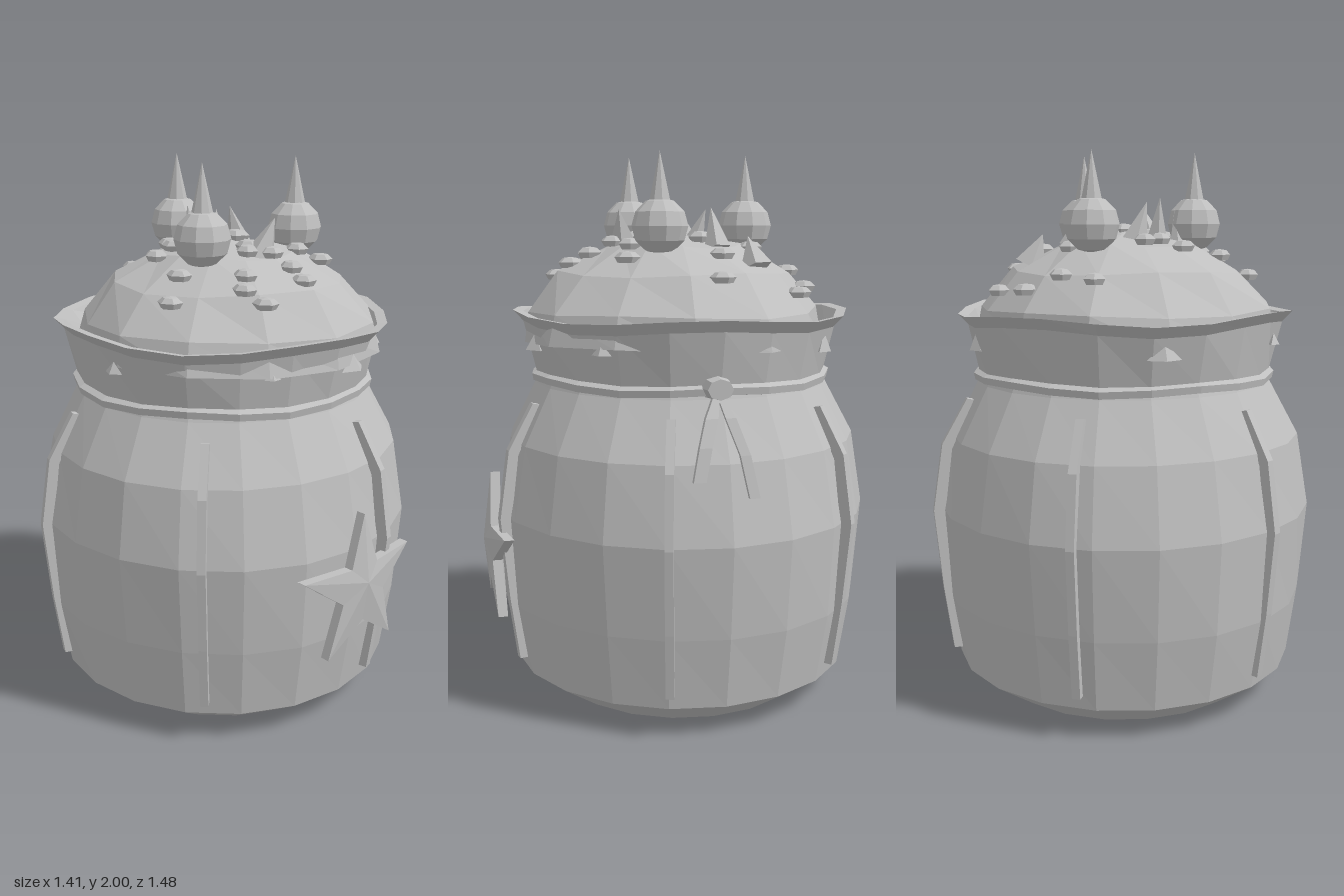
import * as THREE from 'three';

export function createModel() {
  const model = new THREE.Group();
  const grey = new THREE.MeshStandardMaterial({ color: 0xbfbfbf, flatShading: true });
  grey.name = 'plainGrey';

  const add = (name, geometry, parent = model) => {
    const mesh = new THREE.Mesh(geometry, grey);
    mesh.name = name;
    parent.add(mesh);
    return mesh;
  };
  const lathe = (points, sides) =>
    new THREE.LatheGeometry(points.map(([r, y]) => new THREE.Vector2(r, y)), sides);
  // Shifts every vertex by a rule of its angle, radius and height
  const warp = (geometry, rule) => {
    const p = geometry.attributes.position;
    for (let i = 0; i < p.count; i++) {
      const x = p.getX(i), y = p.getY(i), z = p.getZ(i);
      const [scale, lift] = rule(Math.atan2(x, z), Math.hypot(x, z), y);
      p.setXYZ(i, x * scale, y + lift, z * scale);
    }
    geometry.computeVertexNormals();
    return geometry;
  };

  // Sack and its gathered neck share a centre slightly behind the origin
  const sack = new THREE.Group();
  sack.name = 'sack';
  sack.position.set(-0.003, 0, -0.025);
  model.add(sack);

  const body = lathe([[0, 0], [0.48, 0], [0.64, 0.11], [0.68, 0.37], [0.705, 0.7],
    [0.655, 0.97], [0.55, 1.17], [0.53, 1.22]], 20);
  add('body', warp(body, (a, r, y) =>
    [1 + (y > 0.3 && y < 1.1 ? 0.007 * Math.sin(3 * a + y * 5) : 0), 0]), sack);

  const collar = lathe([[0.535, 1.17], [0.545, 1.21], [0.585, 1.39], [0.622, 1.43],
    [0.585, 1.425], [0.55, 1.36], [0.53, 1.28]], 20);
  add('collar', warp(collar, (a, r, y) => {
    const w = y > 1.38 ? 1 : 0.25;
    return [1 + w * 0.015 * Math.sin(5 * a + 1), w * 0.012 * Math.sin(4 * a + 2)];
  }), sack);

  const cord = lathe([[0.53, 1.175], [0.56, 1.18], [0.565, 1.205], [0.54, 1.22]], 20);
  add('neckCord', warp(cord, (a) => [1, 0.006 * Math.sin(5 * a)]), sack);

  // Raised seams, bowed along the body
  const seamOutline = [[0.64, 0.16], [0.672, 0.16], [0.705, 0.4], [0.733, 0.7], [0.695, 0.95],
    [0.6, 1.115], [0.575, 1.11], [0.66, 0.93], [0.69, 0.7], [0.665, 0.4]];
  const seamShape = new THREE.Shape(seamOutline.map(([x, y]) => new THREE.Vector2(x, y)));
  for (let i = 0; i < 6; i++) {
    const geometry = new THREE.ExtrudeGeometry(seamShape, { depth: 0.03, bevelEnabled: false });
    geometry.translate(0, 0, -0.015);
    const seam = add('seam', geometry, sack);
    seam.rotation.y = THREE.MathUtils.degToRad(12.5 + 60 * i - 90);
  }

  // Little points poking through the collar
  [[10, 0.065, 0.06], [48, 0.04, 0.04], [-25, 0.03, 0.03], [-82, 0.04, 0.04],
    [140, 0.05, 0.07], [-140, 0.06, 0.06]].forEach(([deg, half, height]) => {
    const a = THREE.MathUtils.degToRad(deg);
    const geometry = new THREE.ConeGeometry(half, height, 4);
    geometry.scale(1, 1, 0.55);
    const point = add('collarPoint', geometry, sack);
    point.position.set(Math.sin(a) * 0.572, 1.335, Math.cos(a) * 0.572);
    point.rotation.y = a;
  });

  // Knot and its two hanging tails
  const tie = new THREE.Group();
  tie.name = 'tie';
  model.add(tie);
  const knot = add('knot', new THREE.CylinderGeometry(0.045, 0.055, 0.06, 8), tie);
  knot.rotation.z = -Math.PI / 2;
  knot.scale.set(0.8, 1, 1);
  knot.position.set(0.56, 1.21, -0.01);

  const tail = (path, half) => {
    const pos = [], index = [], n = path.length;
    path.forEach(([x, y, z], i) => {
      const w = i === 0 ? half * 0.5 : half;
      pos.push(x, y, z + w, x + 0.018, y, z + w, x + 0.018, y, z - w, x, y, z - w);
    });
    for (let i = 0; i < n - 1; i++) {
      for (let k = 0; k < 4; k++) {
        const a = i * 4 + k, b = i * 4 + (k + 1) % 4;
        index.push(a, a + 4, b, b, a + 4, b + 4);
      }
    }
    const e = (n - 1) * 4;
    index.push(e, e + 3, e + 2, e, e + 2, e + 1);
    const geometry = new THREE.BufferGeometry();
    geometry.setAttribute('position', new THREE.Float32BufferAttribute(pos, 3));
    geometry.setIndex(index);
    geometry.computeVertexNormals();
    return geometry;
  };
  add('tail', tail([[0.56, 1.19, 0], [0.605, 1.12, 0.03], [0.64, 1.03, 0.06], [0.66, 0.92, 0.085]], 0.022), tie);
  add('tail', tail([[0.56, 1.19, -0.01], [0.605, 1.12, -0.035], [0.645, 1.0, -0.075], [0.675, 0.86, -0.1]], 0.018), tie);

  // Star with a raised centre: x, y, front z around the rim
  const rim = [[0, 0.84, 0.705], [-0.065, 0.65, 0.715], [-0.27, 0.65, 0.685], [-0.105, 0.53, 0.715],
    [-0.163, 0.33, 0.705], [0, 0.44, 0.715], [0.163, 0.33, 0.705], [0.105, 0.53, 0.715],
    [0.27, 0.65, 0.685], [0.065, 0.65, 0.715]];
  const starPos = [0, 0.59, 0.737, 0, 0.59, 0.67], starIndex = [];
  rim.forEach(([x, y, z], i) => {
    starPos.push(x, y, z, x, y, z - 0.035);
    const a = 2 + i * 2, b = 2 + ((i + 1) % rim.length) * 2;
    starIndex.push(0, a, b, 1, b + 1, a + 1, a, a + 1, b, b, a + 1, b + 1);
  });
  const star = new THREE.BufferGeometry();
  star.setAttribute('position', new THREE.Float32BufferAttribute(starPos, 3));
  star.setIndex(starIndex);
  star.computeVertexNormals();
  add('star', star);

  // Heaped filling
  const moundProfile = [[0.57, 1.33], [0.545, 1.44], [0.43, 1.575], [0.25, 1.67], [0, 1.715]];
  add('filling', warp(lathe(moundProfile, 13), (a, r, y) =>
    r < 0.01 ? [1, 0] : [1 + 0.02 * Math.sin(4 * a + y * 9), 0.008 * Math.sin(3 * a + r * 20)]));
  const heightAt = (x, z) => {
    const r = Math.hypot(x, z);
    for (let i = moundProfile.length - 1; i > 0; i--) {
      const [r0, y0] = moundProfile[i], [r1, y1] = moundProfile[i - 1];
      if (r <= r1) return y0 + (y1 - y0) * (r - r0) / (r1 - r0);
    }
    return 1.4;
  };

  // Round ornaments with tall spikes
  [[-0.225, 0.12], [0.235, 0.11], [-0.005, -0.28]].forEach(([x, z]) => {
    const ornament = new THREE.Group();
    ornament.name = 'ornament';
    ornament.position.set(x, 1.742, z);
    add('ball', new THREE.SphereGeometry(0.1, 10, 6), ornament);
    add('spike', new THREE.ConeGeometry(0.04, 0.18, 8), ornament).position.y = 0.168;
    model.add(ornament);
  });

  // Leaning thorns: x, z, lean in x, lean in z, radius, height
  [[-0.14, -0.03, -0.02, -0.01, 0.045, 0.17], [-0.07, -0.06, -0.04, 0.03, 0.05, 0.15],
    [0.16, -0.12, -0.06, 0.01, 0.05, 0.16], [0.27, -0.23, -0.05, 0.02, 0.06, 0.12],
    [-0.19, 0.04, 0.02, 0.02, 0.03, 0.14], [-0.01, 0.19, 0.05, 0.03, 0.06, 0.15],
    [0.02, -0.08, 0.03, -0.04, 0.04, 0.13]].forEach(([x, z, dx, dz, radius, height]) => {
    const geometry = new THREE.ConeGeometry(radius, height, 5);
    geometry.translate(0, height / 2 - 0.02, 0);
    const thorn = add('thorn', geometry);
    thorn.position.set(x, heightAt(x, z), z);
    thorn.quaternion.setFromUnitVectors(new THREE.Vector3(0, 1, 0),
      new THREE.Vector3(dx, height, dz).normalize());
  });

  // Scattered faceted pebbles
  const pebble = lathe([[0, -0.02], [0.038, -0.018], [0.05, 0.002], [0.03, 0.018], [0, 0.022]], 6);
  pebble.scale(0.95, 1, 0.82);
  [[-0.1, -0.44], [0.03, -0.44], [0.16, -0.46], [0.32, -0.38], [-0.15, -0.15], [-0.27, -0.08],
    [-0.18, -0.09], [0.12, -0.07], [0.3, -0.1], [0.44, -0.06], [0.02, 0.02], [-0.42, 0.18],
    [-0.33, 0.12], [-0.07, 0.18], [-0.03, 0.14], [0, 0.23], [0.16, 0.2], [0.25, 0.23],
    [-0.18, 0.29], [-0.23, 0.34], [-0.2, 0.41], [0.01, 0.32], [0, 0.39], [0.09, -0.27]]
    .forEach(([x, z], i) => {
      const mesh = add('pebble', pebble);
      mesh.position.set(x, heightAt(x, z) + 0.012, z);
      mesh.rotation.y = Math.PI / 2 + 0.25 * Math.sin(i * 2.3);
    });

  return model;
}
